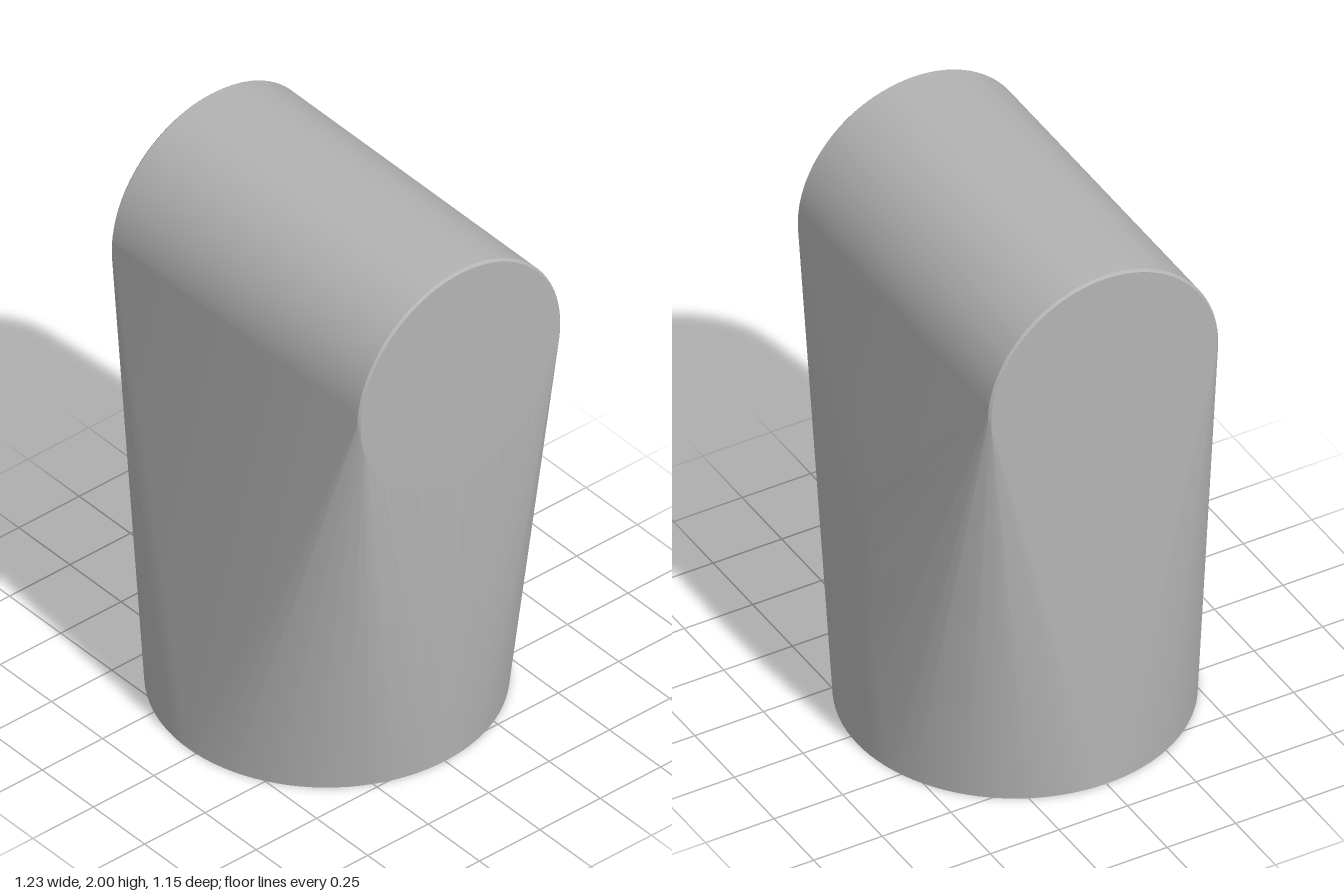
import * as THREE from 'three';
import { ConvexGeometry } from 'three/addons/geometries/ConvexGeometry.js';
import { toCreasedNormals } from 'three/addons/utils/BufferGeometryUtils.js';

const SEGMENTS = 96;

// Points of a full circle, placed by a function of its cosine and sine
function ring(place) {
  return Array.from({ length: SEGMENTS }, (_, i) => {
    const a = (i / SEGMENTS) * Math.PI * 2;
    return place(Math.cos(a), Math.sin(a));
  });
}

export function createModel() {
  const group = new THREE.Group();
  group.name = 'taperedBlock';
  const grey = new THREE.MeshStandardMaterial({ color: 0xb4b4b4 });
  grey.name = 'grey';

  const points = [];

  // Round foot
  const footX = -0.04, footRadius = 0.577;
  points.push(...ring((c, s) => new THREE.Vector3(footX + footRadius * c, 0, footRadius * s)));

  // Horizontal barrel on top, with finely bevelled rims
  const barrelY = 1.58;
  for (const [x, r] of [[-0.603, 0.412], [-0.595, 0.42], [0.604, 0.42], [0.612, 0.412]]) {
    points.push(...ring((c, s) => new THREE.Vector3(x, barrelY + r * c, r * s)));
  }

  // Gentle bulge down the middle of the back
  for (const [y, depth] of [[0.15, 0.576], [0.3, 0.572], [0.45, 0.565], [0.6, 0.556], [0.75, 0.545], [0.9, 0.53], [1.03, 0.513]]) {
    for (let t = -1; t <= 1; t += 0.25) {
      points.push(new THREE.Vector3(footX + 0.14 * t, y, -depth + 0.018 * t * t));
    }
  }

  // Skin stretched around foot, barrel and bulge
  const skin = toCreasedNormals(new ConvexGeometry(points), Math.PI / 7);
  const body = new THREE.Mesh(skin, grey);
  body.name = 'body';
  group.add(body);
  return group;
}
